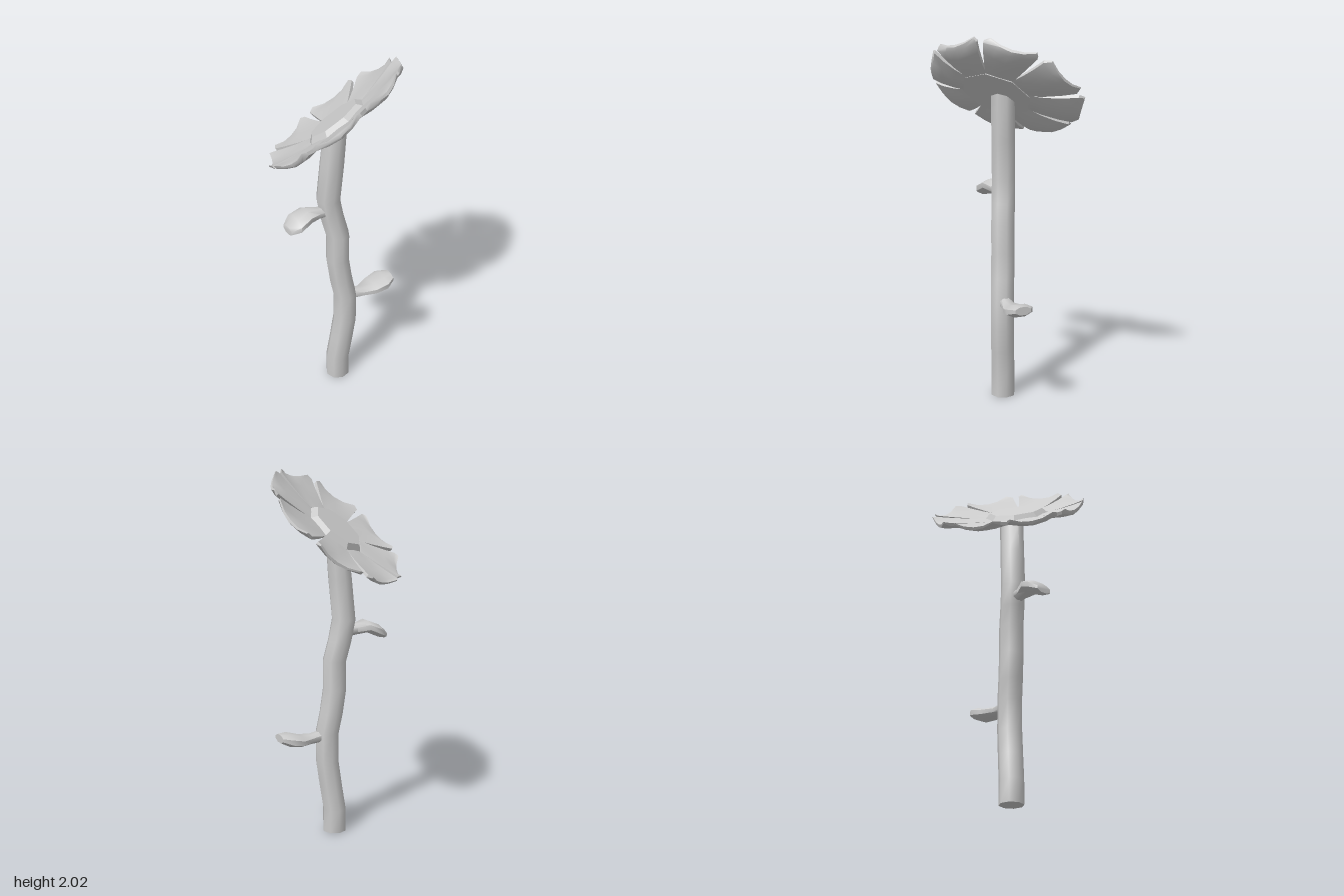
import * as THREE from 'three';
import { toCreasedNormals } from 'three/addons/utils/BufferGeometryUtils.js';

const material = new THREE.MeshStandardMaterial({ color: 0xcccccc });
const UP = new THREE.Vector3(0, 1, 0);

function addMesh(parent, name, geometry, crease = 0.9) {
  const mesh = new THREE.Mesh(toCreasedNormals(geometry, crease), material);
  mesh.name = name;
  parent.add(mesh);
  return mesh;
}

// Closed skin over a list of rings, each ring an array of points, capped at both ends
function loft(rings) {
  const n = rings[0].length;
  const pos = rings.flat().flatMap(p => p.toArray());
  const index = [];
  for (let i = 0; i < rings.length - 1; i++) {
    for (let k = 0; k < n; k++) {
      const a = i * n + k, b = i * n + (k + 1) % n;
      index.push(a, b, b + n, a, b + n, a + n);
    }
  }
  const last = (rings.length - 1) * n;
  for (let k = 1; k < n - 1; k++) {
    index.push(0, k + 1, k, last, last + k, last + k + 1);
  }
  const geometry = new THREE.BufferGeometry();
  geometry.setAttribute('position', new THREE.Float32BufferAttribute(pos, 3));
  geometry.setIndex(index);
  return geometry;
}

function ring(center, side, up, w, h, sides = 8) {
  return Array.from({ length: sides }, (_, k) => {
    const a = (k + 0.5) / sides * Math.PI * 2;
    return center.clone().addScaledVector(side, Math.cos(a) * w).addScaledVector(up, Math.sin(a) * h);
  });
}

// Winding eight-sided stem, its top cut parallel to the flower head
function stemGeometry() {
  const path = [[-0.006, 0], [-0.006, 0.13], [0.015, 0.27], [0.034, 0.41], [0.034, 0.58], [0.012, 0.69],
    [-0.007, 0.83], [-0.007, 0.99], [-0.035, 1.1], [-0.057, 1.22], [-0.037, 1.44], [-0.02, 1.65]];
  const side = new THREE.Vector3(0, 0, 1), across = new THREE.Vector3(1, 0, 0);
  const rings = path.map(([x, y]) => ring(new THREE.Vector3(x, y, 0.008), side, across, 0.067, 0.067));
  rings.at(-1).forEach(p => { p.y += 0.7 * (p.x + 0.02) + 0.25 * (p.z - 0.008); });
  return loft(rings);
}

// Fleshy leaf: narrow neck, broad blade, blunt tip; rows are x, y, z, half width, half thickness
function leafGeometry(rows) {
  const a = rows[0], b = rows.at(-1);
  const dir = new THREE.Vector3(b[0] - a[0], 0, b[2] - a[2]).normalize();
  const side = UP.clone().cross(dir);
  return loft(rows.map(([x, y, z, w, h]) => ring(new THREE.Vector3(x, y, z), side, UP, w, h)));
}

// Petal: a box bent into a widening, cupped blade pointing outwards at the given angle
function petalGeometry(angle) {
  const radius = [0.165, 0.25, 0.33, 0.393, 0.415];
  const halfWidth = [0.072, 0.097, 0.122, 0.143, 0.122];
  const lift = [0.012, 0.012, 0.018, 0.026, 0.03];
  const thick = [0.015, 0.03, 0.036, 0.032, 0.016];
  const geometry = new THREE.BoxGeometry(2, 1, 1, 4, 1, 4);
  const p = geometry.attributes.position;
  const c = Math.cos(angle), s = Math.sin(angle);
  for (let i = 0; i < p.count; i++) {
    const u = p.getX(i), v = p.getY(i), t = p.getZ(i) + 0.5;
    const row = Math.round(t * 4);
    const x = u * halfWidth[row], r = radius[row];
    const y = lift[row] + 0.032 * u * u * t + v * thick[row] * (1 - 0.45 * Math.abs(u));
    // the ring of tips sits slightly off the centre of the disc
    p.setXYZ(i, x * s + r * c + 0.015 * t, y, -x * c + r * s - 0.041 * t);
  }
  return geometry;
}

export function createModel() {
  const model = new THREE.Group();
  model.name = 'flower';

  addMesh(model, 'stem', stemGeometry());

  addMesh(model, 'upperLeaf', leafGeometry([
    [-0.05, 1.15, 0.01, 0.035, 0.035], [-0.12, 1.155, 0.045, 0.04, 0.032], [-0.18, 1.165, 0.075, 0.068, 0.036],
    [-0.24, 1.135, 0.105, 0.08, 0.038], [-0.282, 1.11, 0.125, 0.048, 0.024]]));

  addMesh(model, 'lowerLeaf', leafGeometry([
    [0.05, 0.565, 0, 0.035, 0.035], [0.13, 0.555, -0.035, 0.04, 0.028], [0.19, 0.558, -0.07, 0.07, 0.032],
    [0.255, 0.575, -0.1, 0.08, 0.038], [0.302, 0.588, -0.122, 0.048, 0.024]]));

  // Tilted flower head
  const head = new THREE.Group();
  head.name = 'flowerHead';
  head.position.set(-0.006, 1.69, 0.042);
  head.quaternion.setFromUnitVectors(UP, new THREE.Vector3(-0.77, 1, -0.33).normalize());
  model.add(head);

  const turn = -0.05;
  const disc = new THREE.CylinderGeometry(0.15, 0.195, 0.045, 8);
  disc.rotateY(Math.PI / 8 - turn);
  disc.translate(0, 0.02, 0);
  addMesh(head, 'disc', disc, 0.3);

  for (let i = 0; i < 8; i++) {
    addMesh(head, `petal${i + 1}`, petalGeometry(turn + i * Math.PI / 4), 0.8);
  }
  return model;
}
